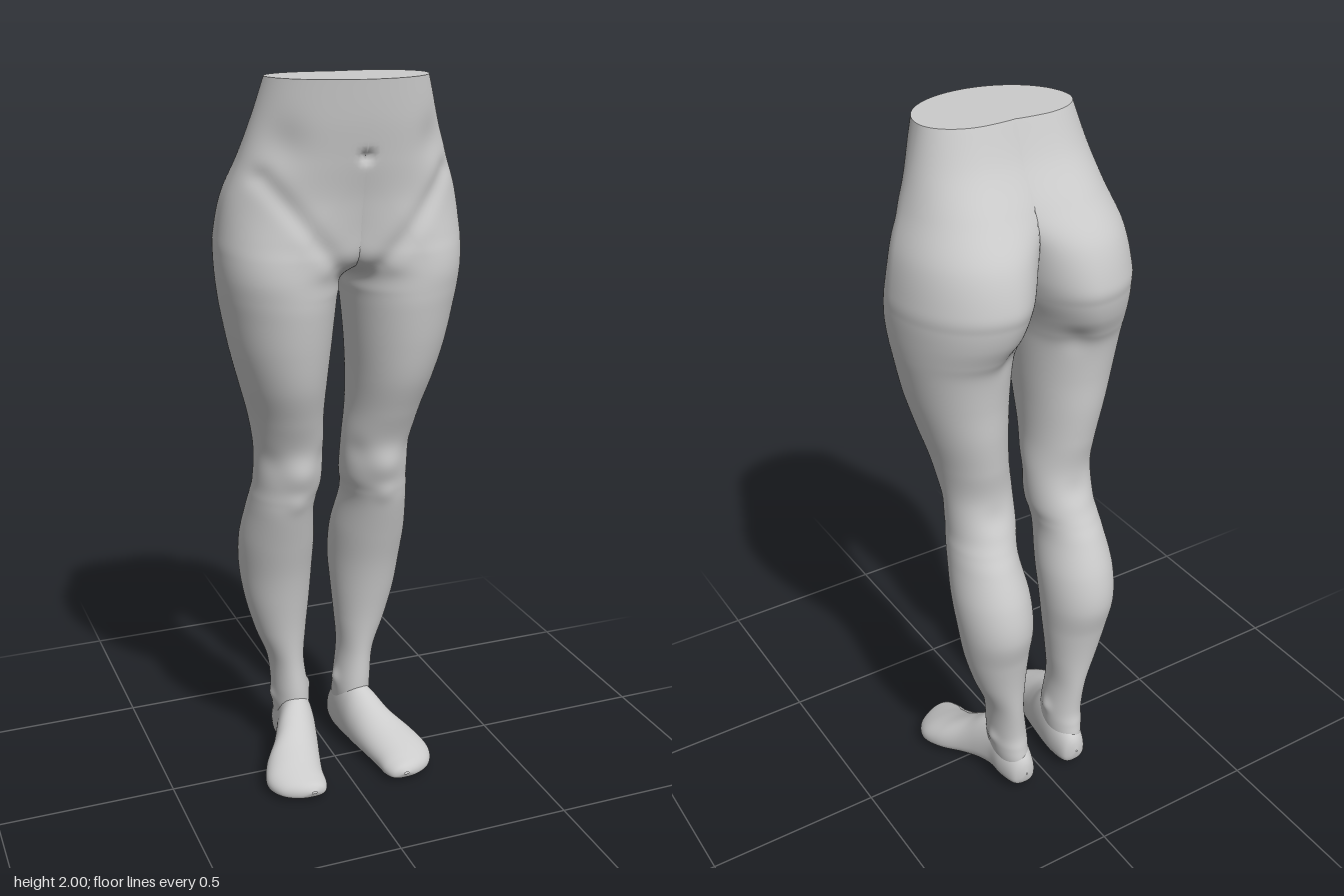
import * as THREE from 'three';

const material = new THREE.MeshStandardMaterial({ color: 0xcccccc, side: THREE.DoubleSide });

// Lower leg and thigh sections: y, outer x, inner x, front z, back z
const limb = [
  [0.04, 0.13, 0.055, -0.08, -0.19], [0.1, 0.142, 0.048, -0.06, -0.208],
  [0.15, 0.15, 0.044, -0.048, -0.203], [0.2, 0.153, 0.046, -0.048, -0.196],
  [0.3, 0.163, 0.058, -0.052, -0.202], [0.4, 0.2, 0.05, -0.045, -0.21],
  [0.5, 0.228, 0.04, -0.03, -0.225], [0.6, 0.243, 0.033, -0.01, -0.246],
  [0.7, 0.247, 0.034, 0.018, -0.232], [0.8, 0.236, 0.047, 0.047, -0.192],
  [0.85, 0.23, 0.044, 0.058, -0.167], [0.9, 0.225, 0.034, 0.066, -0.146],
  [1.0, 0.228, 0.032, 0.08, -0.12], [1.1, 0.245, 0.04, 0.118, -0.13],
  [1.2, 0.273, 0.038, 0.157, -0.14], [1.3, 0.3, 0.03, 0.181, -0.145],
  [1.4, 0.32, 0.02, 0.197, -0.157],
].map(([y, xo, xi, zf, zb]) => {
  const c = (xo + xi) / 2;
  return [y, xo, c, xi, c, xi, (zf + zb) / 2, zf, zb];
});

// Hip sections: y, outer x, front centre, front inner, back centre, back inner, mid z, front z, back z
const hip = [
  [1.45, 0.328, 0.175, 0.014, 0.16, 0.014, 0.025, 0.202, -0.177],
  [1.5, 0.333, 0.18, 0.0, 0.145, 0.004, 0.03, 0.204, -0.2],
  [1.55, 0.335, 0.17, -0.1, 0.135, -0.012, 0.03, 0.202, -0.213],
  [1.6, 0.333, 0.14, -0.18, 0.13, -0.025, 0.03, 0.199, -0.217],
  [1.7, 0.315, 0.06, -0.26, 0.125, -0.06, 0.04, 0.203, -0.188],
  [1.8, 0.278, 0.01, -0.28, 0.11, -0.14, 0.06, 0.222, -0.125],
  [1.9, 0.245, 0, -0.25, 0.09, -0.15, 0.07, 0.239, -0.062],
  [2.0, 0.215, 0, -0.215, 0.08, -0.16, 0.08, 0.25, -0.02],
];

// Foot sections from toes to heel: z, inner x, outer x, bottom, top
const footSections = [
  [0.212, 0.135, 0.15, 0.03, 0.036], [0.2, 0.105, 0.188, 0.012, 0.052],
  [0.17, 0.09, 0.232, 0.004, 0.066], [0.12, 0.084, 0.253, 0, 0.087],
  [0.06, 0.07, 0.236, 0.003, 0.114], [0, 0.055, 0.195, 0.008, 0.152],
  [-0.05, 0.045, 0.168, 0.012, 0.19], [-0.1, 0.04, 0.15, 0.012, 0.2],
  [-0.15, 0.04, 0.146, 0.012, 0.175], [-0.2, 0.05, 0.132, 0.018, 0.13],
  [-0.218, 0.066, 0.114, 0.035, 0.105], [-0.225, 0.088, 0.092, 0.066, 0.072],
];

// Soft swellings and hollows: x, y, z, radius, height
const bumps = [
  [0.125, 0.94, 0.07, 0.045, 0.012],    // kneecap
  [0.13, 0.85, 0.06, 0.03, 0.005],      // below the knee
  [0.06, 0.98, 0.03, 0.04, -0.005],     // inner knee hollow
  [0.19, 0.98, 0.03, 0.04, -0.005],     // outer knee hollow
  [0.13, 0.95, -0.13, 0.04, -0.006],    // back of knee
  [0.045, 0.2, -0.12, 0.022, 0.008],    // inner ankle
  [0.155, 0.18, -0.13, 0.022, 0.008],   // outer ankle
  [0.09, 1.43, -0.17, 0.04, -0.01],     // fold below the buttock
  [0.0, 1.81, 0.224, 0.014, -0.02],     // navel
  [0.2, 1.84, 0.17, 0.06, -0.01],       // beside the belly
  [0.0, 1.56, 0.16, 0.05, 0.008],       // pubic mound
];

// Smoothly interpolate a table of section values
function sample(rows, t) {
  const f = t * (rows.length - 1), i = Math.min(Math.floor(f), rows.length - 2), u = f - i;
  const at = k => rows[Math.max(0, Math.min(rows.length - 1, k))];
  const [a, b, c, d] = [at(i - 1), at(i), at(i + 1), at(i + 2)];
  return b.map((v, k) => v + 0.5 * u * (c[k] - a[k]
    + u * (2 * a[k] - 5 * v + 4 * c[k] - d[k] + u * (3 * (v - c[k]) + d[k] - a[k]))));
}

// Skin a stack of closed rings
function loft(rows, steps, cols, point) {
  const pos = [], idx = [];
  for (let r = 0; r <= steps; r++) {
    const s = sample(rows, r / steps);
    for (let c = 0; c < cols; c++) {
      pos.push(...point(s, Math.cos(c / cols * 2 * Math.PI), Math.sin(c / cols * 2 * Math.PI)));
      if (r === steps) continue;
      const a = r * cols + c, b = r * cols + (c + 1) % cols;
      idx.push(a, a + cols, b, b, a + cols, b + cols);
    }
  }
  const g = new THREE.BufferGeometry();
  g.setAttribute('position', new THREE.Float32BufferAttribute(pos, 3));
  g.setIndex(idx);
  g.computeVertexNormals();
  return g;
}

const COLS = 112, ROWS = 240;

function legGeometry() {
  const g = loft([...limb, ...hip], ROWS, COLS, ([y, xo, cf, xf, cb, xb, cz, zf, zb], c, s) => {
    const [cx, xi] = s >= 0 ? [cf, xf] : [cb, xb];
    return [cx + c * (c > 0 ? xo - cx : cx - xi), y, cz + s * (s > 0 ? zf - cz : cz - zb)];
  });
  const p = g.attributes.position, n = g.attributes.normal;
  const v = new THREE.Vector3(), d = new THREE.Vector3();
  // Groin crease runs from the crotch up to the hip bone
  const crease = new THREE.Line3(new THREE.Vector3(0.06, 1.53, 0), new THREE.Vector3(0.25, 1.76, 0));
  for (let i = 0; i < p.count; i++) {
    v.fromBufferAttribute(p, i);
    let h = 0;
    for (const [x, y, z, r, a] of bumps) {
      h += a * Math.exp(-((v.x - x) ** 2 + (v.y - y) ** 2 + (v.z - z) ** 2) / (r * r));
    }
    if (v.z > 0.06) {
      const flat = new THREE.Vector3(v.x, v.y, 0);
      crease.closestPointToPoint(flat, true, d);
      h -= 0.009 * Math.exp(-flat.distanceToSquared(d) / 0.0007) * Math.min(1, (v.z - 0.06) / 0.06);
    }
    d.fromBufferAttribute(n, i);
    v.addScaledVector(d, h * Math.min(1, (2 - v.y) / 0.05));
    p.setXYZ(i, v.x, v.y, v.z);
  }
  g.computeVertexNormals();
  // Trim at the middle plane so both halves meet there
  const old = g.index.array, keep = [];
  for (let i = 0; i < old.length; i += 3) {
    const tri = [old[i], old[i + 1], old[i + 2]];
    if (tri.some(k => p.getX(k) > 0)) keep.push(...tri);
  }
  g.setIndex(keep);
  for (let i = 0; i < p.count; i++) p.setX(i, Math.max(0, p.getX(i)));
  return g;
}

// Flat cut across the waist
function waistGeometry(leg) {
  const p = leg.attributes.position, pos = [0, 2, 0.1], idx = [];
  for (let c = 0; c < COLS; c++) {
    const k = ROWS * COLS + c;
    pos.push(p.getX(k), 2, p.getZ(k));
    idx.push(0, 1 + (c + 1) % COLS, 1 + c);
  }
  const g = new THREE.BufferGeometry();
  g.setAttribute('position', new THREE.Float32BufferAttribute(pos, 3));
  g.setAttribute('normal', new THREE.Float32BufferAttribute(pos.map((_, i) => i % 3 === 1 ? 1 : 0), 3));
  g.setIndex(idx);
  return g;
}

// Foot: flat sole, instep ridge towards the inner side
function footGeometry() {
  return loft(footSections, 90, 48, ([z, xi, xo, lo, hi], c, s) => {
    const cx = xi + (xo - xi) * 0.45, cy = lo + (hi - lo) * 0.38;
    const e = s < 0 ? 0.75 : 1;
    const px = Math.sign(c) * Math.abs(c) ** e, py = Math.sign(s) * Math.abs(s) ** e;
    return [cx + px * (c > 0 ? xo - cx : cx - xi), cy + py * (s > 0 ? hi - cy : cy - lo), z];
  });
}

function mirrored(geometry) {
  const g = geometry.clone().scale(-1, 1, 1);
  g.setIndex(Array.from(g.index.array).reverse());
  return g;
}

export function createModel() {
  const model = new THREE.Group();
  model.name = 'lowerBody';
  const leg = legGeometry();
  const parts = { LegAndHip: leg, Foot: footGeometry(), WaistCut: waistGeometry(leg) };
  for (const [name, geometry] of Object.entries(parts)) {
    for (const side of ['left', 'right']) {
      const mesh = new THREE.Mesh(side === 'left' ? geometry : mirrored(geometry), material);
      mesh.name = side + name;
      model.add(mesh);
    }
  }
  return model;
}
